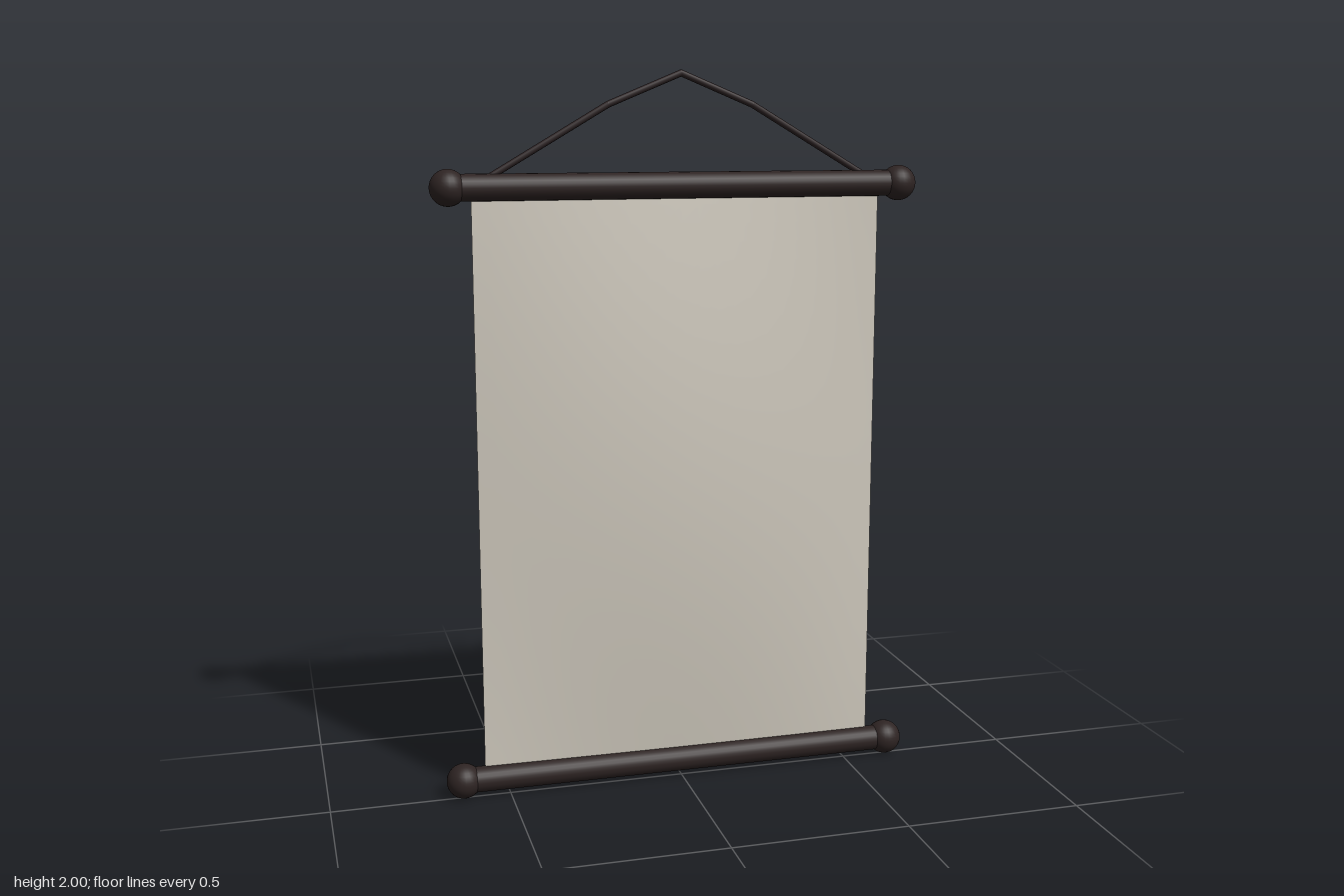
import * as THREE from 'three';

const Z = -0.003, TOP = 1.694, BOTTOM = 0.05;

export function createModel() {
  const model = new THREE.Group();
  model.name = 'wallScroll';
  const wood = new THREE.MeshStandardMaterial({ color: 0x2e2423 });
  wood.name = 'dark wood';
  const cordMat = new THREE.MeshStandardMaterial({ color: 0x2a2021 });
  cordMat.name = 'dark cord';
  const cloth = new THREE.MeshStandardMaterial({ color: 0xd0cabe, side: THREE.DoubleSide });
  cloth.name = 'pale cloth';

  const add = (name, geometry, material, parent = model) => {
    const mesh = new THREE.Mesh(geometry, material);
    mesh.name = name;
    parent.add(mesh);
    return mesh;
  };

  // Rods with a round knob at each end
  for (const [name, y] of [['topRod', TOP], ['bottomRod', BOTTOM]]) {
    const group = new THREE.Group();
    group.name = name;
    group.position.set(0, y, Z);
    model.add(group);
    add('rod', new THREE.CylinderGeometry(0.036, 0.036, 1.24, 24).rotateZ(Math.PI / 2), wood, group);
    for (const side of [-1, 1]) {
      add(side > 0 ? 'leftKnob' : 'rightKnob', new THREE.SphereGeometry(0.049, 24, 16), wood, group)
        .position.x = side * 0.63;
    }
  }

  // Cloth panel, swelling forward in the middle and flat along its edges
  const width = 1.14, height = TOP - BOTTOM;
  const panel = new THREE.PlaneGeometry(width, height, 24, 32);
  const p = panel.attributes.position;
  for (let i = 0; i < p.count; i++) {
    p.setZ(i, 0.052 * Math.cos(Math.PI * p.getX(i) / width) * Math.cos(Math.PI * p.getY(i) / height));
  }
  panel.computeVertexNormals();
  add('clothPanel', panel, cloth).position.set(0, (TOP + BOTTOM) / 2, Z);

  // Hanging cord: straight lengths with rounded joints
  const cord = new THREE.Group();
  cord.name = 'hangingCord';
  model.add(cord);
  const points = [[-0.53, 1.715], [-0.2, 1.908], [0, 1.99], [0.2, 1.908], [0.53, 1.715]]
    .map(([x, y]) => new THREE.Vector3(x, y, Z));
  const radius = 0.009;
  points.forEach((a, i) => {
    add('cordJoint', new THREE.SphereGeometry(radius, 12, 8), cordMat, cord).position.copy(a);
    const b = points[i + 1];
    if (!b) return;
    const length = add('cordLength', new THREE.CylinderGeometry(radius, radius, a.distanceTo(b), 12), cordMat, cord);
    length.position.copy(a).lerp(b, 0.5);
    length.quaternion.setFromUnitVectors(new THREE.Vector3(0, 1, 0), b.clone().sub(a).normalize());
  });

  return model;
}
